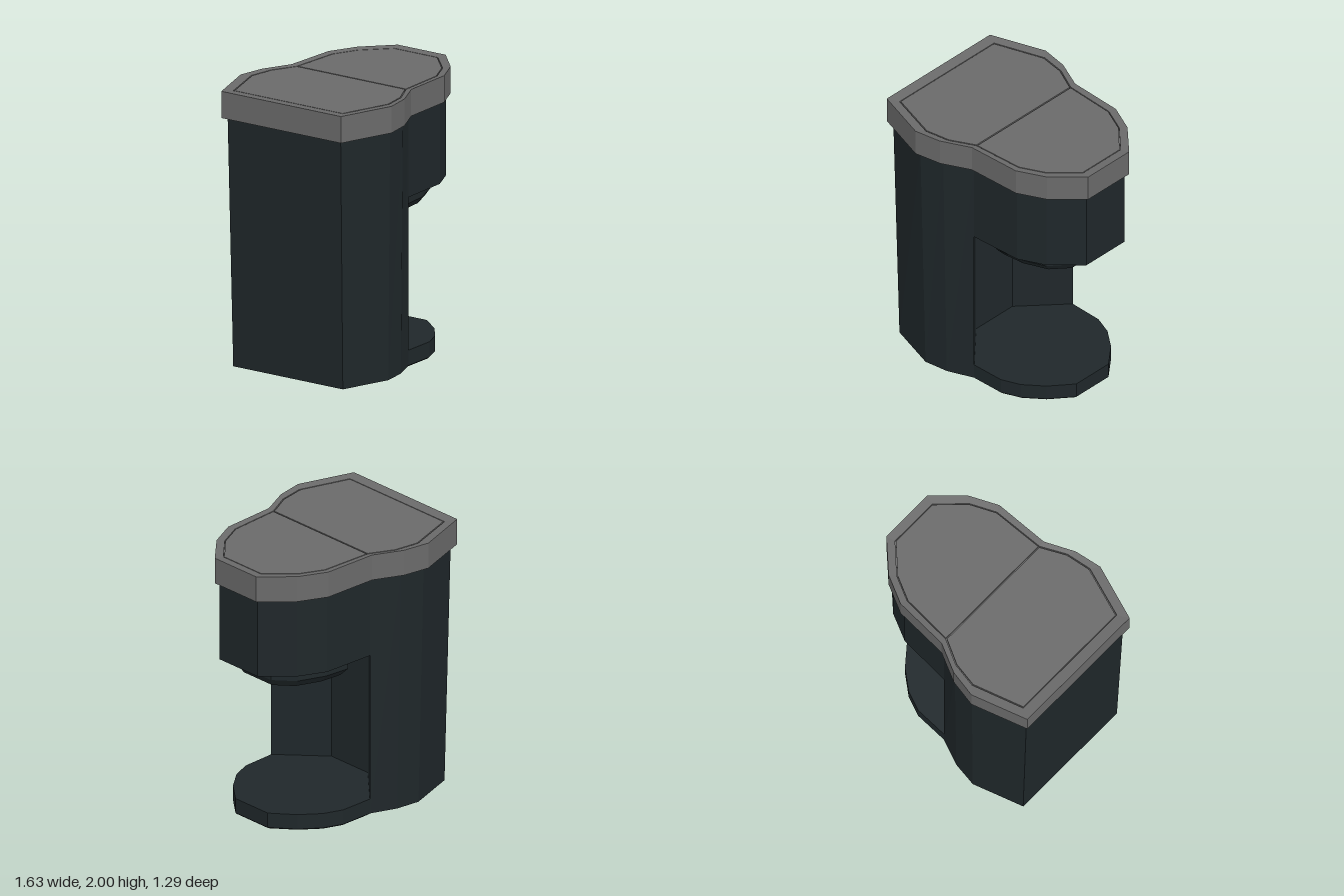
import * as THREE from 'three';

const dark = new THREE.MeshStandardMaterial({ color: 0x1f272a, flatShading: true });
const grey = new THREE.MeshStandardMaterial({ color: 0x6a6a6a, flatShading: true });

// Full outline from its +z half, listed from back (-x) to front (+x)
const mirror = half => [...half, ...half.map(([x, z]) => [x, -z]).reverse()];

// Outline scaled about a point on the x axis
const scaled = (pts, s, cx) => pts.map(([x, z]) => [cx + (x - cx) * s, z * s]);

// Closed solid through outlines stacked as [y, points]
function loft(name, material, sections) {
  const pos = [];
  const put = (y, p) => pos.push(p[0], y, p[1]);
  for (let k = 0; k < sections.length - 1; k++) {
    const [y0, a] = sections[k], [y1, b] = sections[k + 1];
    a.forEach((p, i) => {
      const j = (i + 1) % a.length;
      put(y0, p); put(y0, a[j]); put(y1, b[j]);
      put(y0, p); put(y1, b[j]); put(y1, b[i]);
    });
  }
  const cap = ([y, pts], up) => {
    const flat = pts.map(([x, z]) => new THREE.Vector2(x, -z));
    for (const [i, j, k] of THREE.ShapeUtils.triangulateShape(flat, [])) {
      for (const n of up ? [i, j, k] : [i, k, j]) put(y, pts[n]);
    }
  };
  cap(sections[0], false);
  cap(sections[sections.length - 1], true);
  const geo = new THREE.BufferGeometry();
  geo.setAttribute('position', new THREE.Float32BufferAttribute(pos, 3));
  geo.computeVertexNormals();
  const mesh = new THREE.Mesh(geo, material);
  mesh.name = name;
  return mesh;
}

export function createModel() {
  const group = new THREE.Group();
  group.name = 'coffeeMachine';

  // Tapered rear column with a cup recess in its front
  const recess = [[0, 0.49], [-0.28, 0.18]];
  const columnFoot = mirror([[-0.735, 0.47], [-0.37, 0.59], [-0.19, 0.565], ...recess]);
  const columnTop = mirror([[-0.78, 0.485], [-0.39, 0.62], [-0.2, 0.59], ...recess]);
  group.add(loft('column', dark, [[0.01, columnFoot], [1.82, columnTop]]));

  // Overhanging brew head
  const head = mirror([[0, 0.49], [0.39, 0.47], [0.585, 0.38], [0.785, 0.19]]);
  group.add(loft('brewHead', dark, [[1.22, head], [1.82, head]]));

  // D-shaped outlet with a rounded lower edge
  const outlet = mirror([[0.12, 0.4], [0.31, 0.38], [0.51, 0.3], [0.63, 0.16]]);
  group.add(loft('outlet', dark, [
    [1.055, scaled(outlet, 0.74, 0.375)],
    [1.075, scaled(outlet, 0.88, 0.375)],
    [1.13, outlet],
    [1.225, outlet],
  ]));

  // Cup stand, reaching back into the recess
  const stand = mirror([[-0.28, 0.18], [0, 0.49], [0.25, 0.485], [0.39, 0.43], [0.53, 0.32], [0.66, 0.16]]);
  group.add(loft('cupStand', dark, [[0, scaled(stand, 0.98, 0.2)], [0.01, stand], [0.12, stand]]));

  // Lid with a raised rim
  const rim = mirror([[-0.815, 0.513], [-0.41, 0.647], [-0.21, 0.612], [0, 0.513],
    [0.405, 0.497], [0.61, 0.4], [0.815, 0.205]]);
  const back = [[-0.735, 0.47], [-0.365, 0.59], [-0.18, 0.56], [0, 0.47]];
  const front = [[0, 0.47], [0.385, 0.45], [0.565, 0.365], [0.75, 0.187]];
  const inner = mirror([...back, ...front.slice(1)]);
  group.add(loft('lid', grey, [[1.808, rim], [2, rim], [1.993, inner], [1.975, inner]]));

  // Two lid panels, parted by a narrow seam
  for (const [name, half, shift] of [['rearPanel', back, -0.005], ['frontPanel', front, 0.005]]) {
    const pts = mirror(half.map(([x, z]) => [x * 0.985 + shift, z * 0.985]));
    group.add(loft(name, grey, [[1.97, pts], [1.993, pts]]));
  }
  return group;
}
